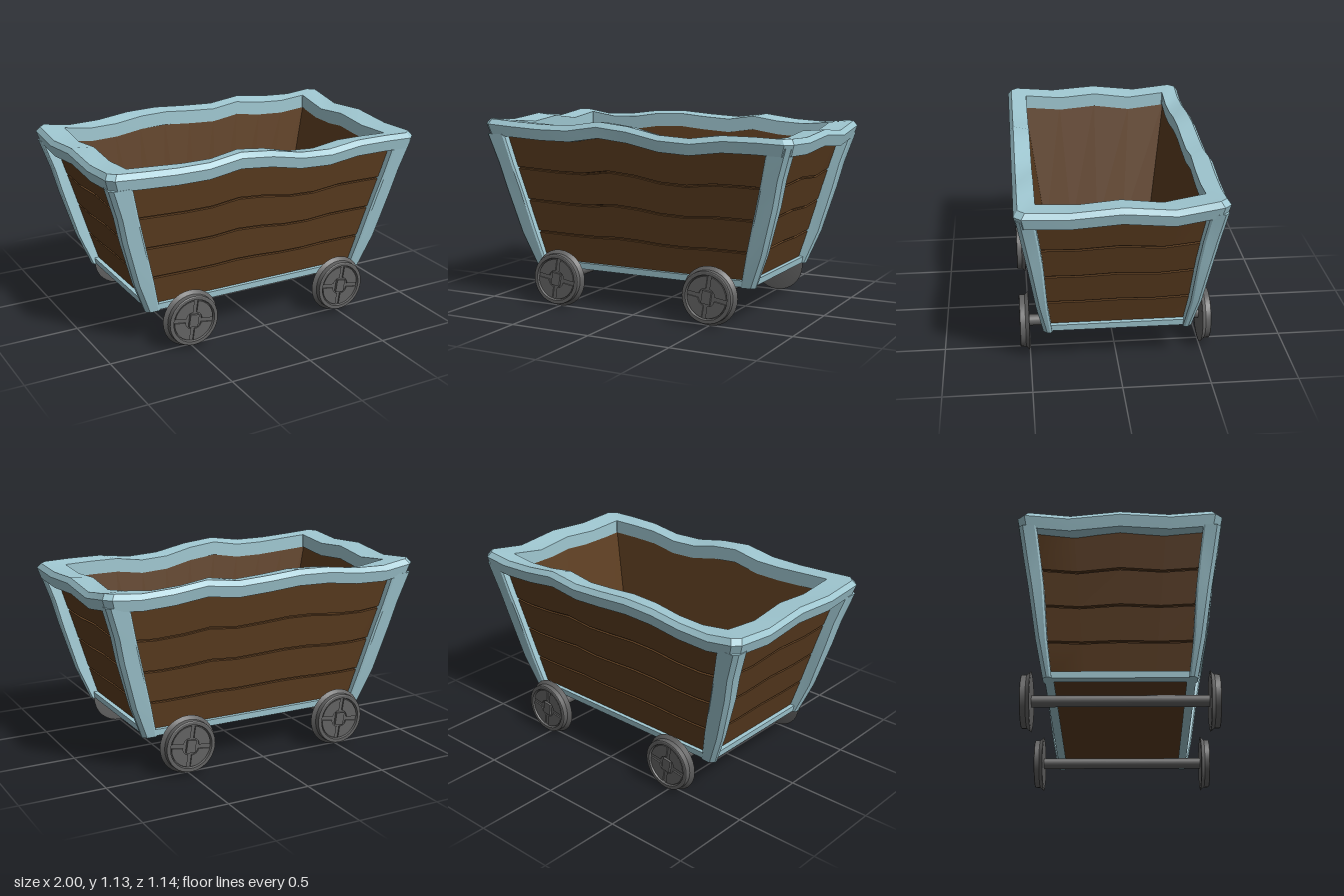
import * as THREE from 'three';
import { toCreasedNormals } from 'three/addons/utils/BufferGeometryUtils.js';

const paint = new THREE.MeshStandardMaterial({ color: 0xa0c8d2 });
paint.name = 'pale blue paint';
const wood = new THREE.MeshStandardMaterial({ color: 0x5c3d20 });
wood.name = 'brown wood';
const iron = new THREE.MeshStandardMaterial({ color: 0x626262 });
iron.name = 'grey iron';

const lerp = THREE.MathUtils.lerp;

// Skin a list of equal-sized closed sections; the winding is fixed by signed volume.
function loft(sections, closedPath) {
  const n = sections[0].length, m = sections.length;
  const pos = sections.flat(2), idx = [];
  for (let i = 0; i < (closedPath ? m : m - 1); i++) {
    for (let j = 0; j < n; j++) {
      const a = i * n + j, b = i * n + (j + 1) % n;
      const c = ((i + 1) % m) * n + j, d = ((i + 1) % m) * n + (j + 1) % n;
      idx.push(a, b, d, a, d, c);
    }
  }
  if (!closedPath) {
    const e = (m - 1) * n;
    for (let j = 1; j < n - 1; j++) idx.push(0, j + 1, j, e, e + j, e + j + 1);
  }
  const p = (i) => new THREE.Vector3().fromArray(pos, i * 3);
  let volume = 0;
  for (let i = 0; i < idx.length; i += 3) volume += p(idx[i]).dot(p(idx[i + 1]).cross(p(idx[i + 2])));
  if (volume < 0) idx.reverse();
  const g = new THREE.BufferGeometry();
  g.setAttribute('position', new THREE.Float32BufferAttribute(pos, 3));
  g.setIndex(idx);
  return toCreasedNormals(g, 0.5);
}

function add(parent, name, geometry, material, x = 0, y = 0, z = 0) {
  const mesh = new THREE.Mesh(geometry, material);
  mesh.name = name;
  mesh.position.set(x, y, z);
  parent.add(mesh);
  return mesh;
}

// Four sides walked anticlockwise, with the wavy rim heights along each.
const SIDES = [
  { name: 'front', at: (u) => [u, 1], tops: [1.12, 1.11, 1.1, 1.1, 1.13, 1.11, 1.07, 1.06, 1.085, 1.085, 1.08] },
  { name: 'left', at: (u) => [1, -u], tops: [1.08, 1.07, 1.09, 1.065, 1.105] },
  { name: 'back', at: (u) => [-u, -1], tops: [1.105, 1.09, 1.1, 1.125, 1.1, 1.11, 1.125, 1.12, 1.095, 1.09, 1.115] },
  { name: 'right', at: (u) => [-1, u], tops: [1.115, 1.09, 1.12, 1.1, 1.12] },
];
const RIM_DEPTH = 0.095;

// Wavy rim swept round the top, with clipped outer corners
function rimGeometry() {
  const profile = [[0.845, 0.455, -0.012], [0.98, 0.55, 0], [1, 0.572, -0.03],
    [0.98, 0.558, -RIM_DEPTH], [0.845, 0.455, -RIM_DEPTH]];
  const sections = [];
  for (const side of SIDES) {
    const last = side.tops.length - 1;
    side.tops.forEach((h, i) => {
      const end = i === 0 || i === last;
      const clip = last > 5 ? 0.04 : 0.07;
      const u = (i / last * 2 - 1);
      sections.push(profile.map(([X, Z, dy], k) => {
        const inner = k === 0 || k === 4;
        const [ux, uz] = side.at(end ? u * (1 - clip * (inner ? 0.1 : 1)) : u);
        return [ux * X, h + dy, uz * Z];
      }));
    });
  }
  return loft(sections, true);
}

// Sloping wall of four planks, with narrow grooves that follow the rim wave
function wallGeometry(side) {
  const base = 0.23, last = side.tops.length - 1;
  const outer = [[0, 0]];
  for (const v of [0.25, 0.5, 0.75]) outer.push([v - 0.008, 0], [v - 0.005, 0.014], [v + 0.005, 0.014], [v + 0.008, 0]);
  outer.push([1.03, 0]);
  const sections = side.tops.map((h, i) => {
    const [ux, uz] = side.at(i / last * 2 - 1);
    const under = h - RIM_DEPTH;
    const point = (v, x0, x1, z0, z1, inset) => {
      const y = lerp(base, under, v), t = (y - base) / 0.77;
      return [ux * (lerp(x0, x1, t) - inset), y, uz * (lerp(z0, z1, t) - inset)];
    };
    return [
      ...outer.map(([v, inset]) => point(v, 0.685, 0.905, 0.39, 0.51, inset)),
      point(1.03, 0.65, 0.85, 0.35, 0.46, 0),
      point(0, 0.65, 0.85, 0.35, 0.46, 0),
    ];
  });
  return loft(sections, false);
}

// L-shaped corner post wrapped round the ends of two walls
function postGeometry(sx, sz) {
  // y, outer x, outer z, inner edge x, inner edge z
  const levels = [[0.218, 0.735, 0.425, 0.65, 0.375], [0.42, 0.815, 0.465, 0.7, 0.4],
    [0.7, 0.895, 0.507, 0.772, 0.42], [0.85, 0.93, 0.533, 0.812, 0.438], [1.03, 0.988, 0.562, 0.855, 0.463]];
  return loft(levels.map(([y, xo, zo, xi, zi]) => {
    const t = (y - 0.23) / 0.77;
    const xm = lerp(0.67, 0.88, t), zm = lerp(0.375, 0.49, t), c = 0.022;
    return [[xm, zm], [xi, zm], [xi, zo - 0.008], [xi + 0.012, zo], [xo - c, zo],
      [xo, zo - c], [xo, zi + 0.012], [xo - 0.008, zi], [xm, zi]].map(([x, z]) => [sx * x, y, sz * z]);
  }), false);
}

// Flanged wheel with four raised panels and a square hub, outer face towards +z
function buildWheel() {
  const wheel = new THREE.Group();
  const profile = [[0, 0], [0.155, 0], [0.172, 0.003], [0.153, 0.024], [0.152, 0.054],
    [0.147, 0.057], [0.13, 0.057], [0.125, 0.042], [0, 0.042]].map(([r, z]) => new THREE.Vector2(r, z));
  const body = new THREE.LatheGeometry(profile, 32);
  body.rotateX(Math.PI / 2);
  add(wheel, 'wheelRim', toCreasedNormals(body, 0.5), iron);
  const a = 0.1, b = Math.PI / 2 - 0.1;
  const shape = new THREE.Shape();
  shape.absarc(0, 0, 0.121, a, b, false);
  shape.lineTo(0.012, 0.05);
  shape.quadraticCurveTo(0.045, 0.045, 0.05, 0.012);
  shape.closePath();
  const panel = new THREE.ExtrudeGeometry(shape, { depth: 0.01, bevelEnabled: false, curveSegments: 8 });
  for (let i = 0; i < 4; i++) {
    add(wheel, 'wheelPanel', panel, iron, 0, 0, 0.041).rotation.z = i * Math.PI / 2 - 0.15;
  }
  add(wheel, 'hub', new THREE.BoxGeometry(0.055, 0.075, 0.016), iron, 0, 0, 0.049).rotation.z = -0.15;
  return wheel;
}

export function createModel() {
  const cart = new THREE.Group();
  cart.name = 'mineCart';

  // Tub
  const tub = new THREE.Group();
  tub.name = 'tub';
  cart.add(tub);
  add(tub, 'topRim', rimGeometry(), paint);
  for (const side of SIDES) add(tub, side.name + 'PlankWall', wallGeometry(side), wood);
  for (const sx of [-1, 1]) for (const sz of [-1, 1]) add(tub, 'cornerPost', postGeometry(sx, sz), paint);
  add(tub, 'floor', new THREE.BoxGeometry(1.34, 0.02, 0.74), wood, 0, 0.238, 0);

  // Bottom rails
  const rail = [[0.715, 0.415, 0.22], [0.72, 0.418, 0.258], [0.67, 0.37, 0.258], [0.66, 0.365, 0.22]];
  add(tub, 'bottomRail', loft([[-1, 1], [1, 1], [1, -1], [-1, -1]].map(([ux, uz]) =>
    rail.map(([X, Z, y]) => [ux * X, y, uz * Z])), true), paint);

  // Axles and wheels
  for (const x of [-0.5, 0.5]) {
    const axle = new THREE.CylinderGeometry(0.033, 0.033, 1.01, 20);
    axle.rotateX(Math.PI / 2);
    add(cart, 'axle', axle, iron, x, 0.175, 0);
    for (const s of [-1, 1]) {
      const wheel = buildWheel();
      wheel.name = 'wheel';
      wheel.position.set(x, 0.173, s * 0.5);
      if (s < 0) wheel.rotation.y = Math.PI;
      cart.add(wheel);
    }
  }
  return cart;
}
